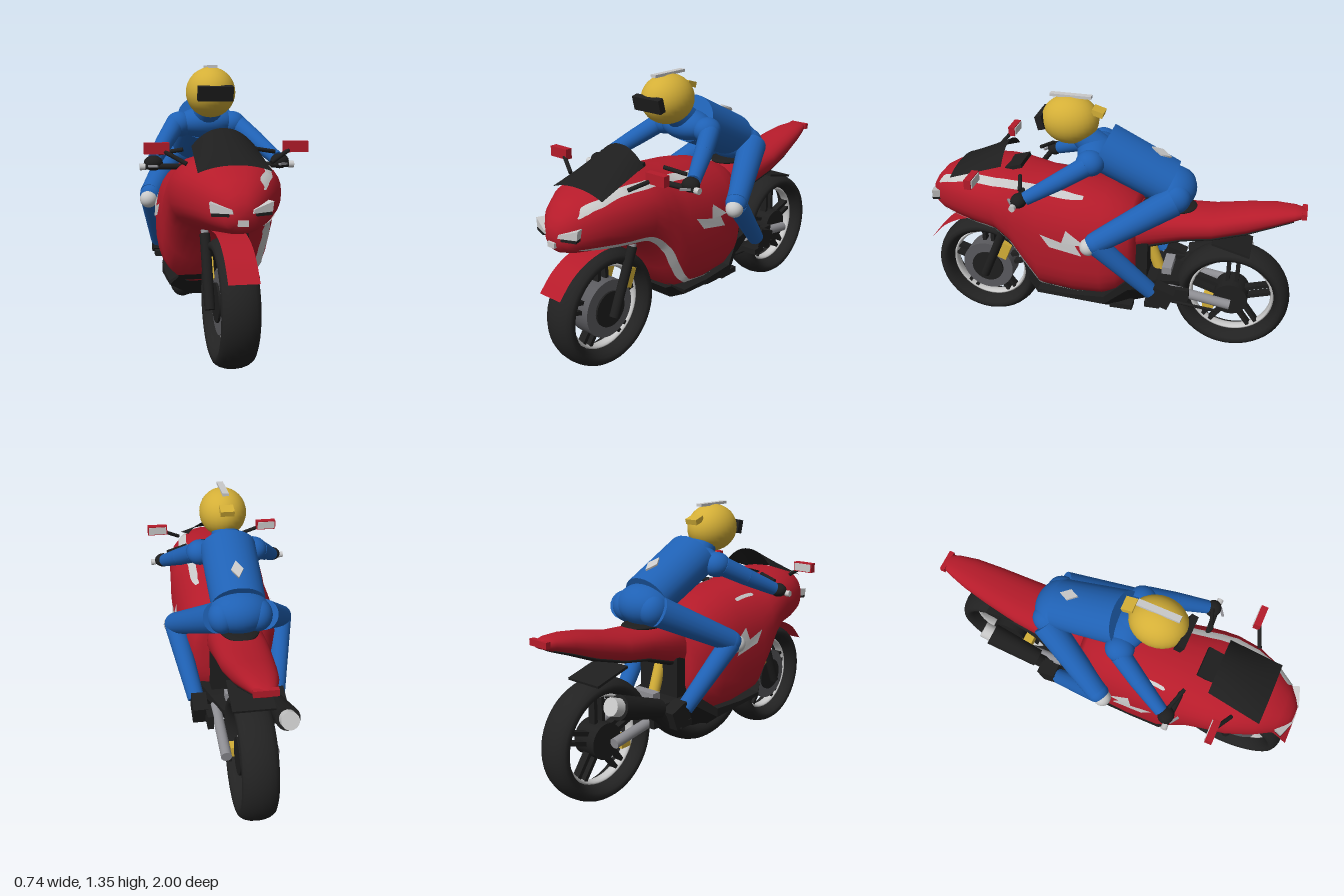
import * as THREE from 'three';

const mat = (name, color, side = THREE.FrontSide) => {
  const m = new THREE.MeshStandardMaterial({ color, side });
  m.name = name;
  return m;
};
const V = (x, y, z) => new THREE.Vector3(x, y, z);

// Body stations from front to back: z, top, bottom, half width, squareness of the lower half
const FAIRING = [
  [0.962, 0.79, 0.70, 0.045], [0.938, 0.83, 0.665, 0.08], [0.893, 0.88, 0.65, 0.128], [0.8, 0.93, 0.637, 0.187],
  [0.68, 0.955, 0.62, 0.235], [0.56, 0.955, 0.6, 0.255], [0.48, 0.95, 0.53, 0.26, 2.5], [0.41, 0.94, 0.42, 0.265, 2.8],
  [0.33, 0.93, 0.3, 0.265, 3], [0.15, 0.915, 0.28, 0.265, 3], [0, 0.885, 0.285, 0.255, 3], [-0.08, 0.855, 0.315, 0.235, 3],
  [-0.14, 0.825, 0.37, 0.2, 2.8], [-0.17, 0.8, 0.43, 0.16, 2.6],
];
const TAIL = [
  [-0.08, 0.79, 0.5, 0.13], [-0.22, 0.8, 0.58, 0.14], [-0.4, 0.81, 0.645, 0.135], [-0.55, 0.82, 0.67, 0.125],
  [-0.72, 0.857, 0.72, 0.105], [-0.85, 0.875, 0.775, 0.085], [-0.94, 0.877, 0.81, 0.06], [-0.99, 0.868, 0.83, 0.04],
];
const POWER = 2.3;

// Closed skin through superelliptic rings
function loft(sections, n = 32) {
  const pos = [], idx = [];
  const sp = (v, q) => Math.sign(v) * Math.abs(v) ** (2 / q);
  for (const [z, t, b, w, low = POWER] of sections)
    for (let j = 0; j < n; j++) {
      const a = (j / n) * Math.PI * 2, q = Math.sin(a) < 0 ? low : POWER;
      pos.push(w * sp(Math.cos(a), q), (t + b) / 2 + ((t - b) / 2) * sp(Math.sin(a), q), z);
    }
  const last = sections.length - 1, c0 = pos.length / 3;
  for (const s of [sections[0], sections[last]]) pos.push(0, (s[1] + s[2]) / 2, s[0]);
  for (let j = 0; j < n; j++) {
    const k = (j + 1) % n;
    for (let i = 0; i < last; i++) {
      const a = i * n + j, b = i * n + k;
      idx.push(a, a + n, b, b, a + n, b + n);
    }
    idx.push(c0, j, k, c0 + 1, last * n + k, last * n + j);
  }
  return build(pos, idx);
}

function build(pos, idx) {
  const g = new THREE.BufferGeometry();
  g.setAttribute('position', new THREE.Float32BufferAttribute(pos, 3));
  g.setIndex(idx);
  g.computeVertexNormals();
  return g;
}

// Open sheet: f(u, v) gives a point
function sheet(f, nu, nv) {
  const pos = [], idx = [];
  for (let i = 0; i <= nu; i++) for (let j = 0; j <= nv; j++) pos.push(...f(i / nu, j / nv));
  for (let i = 0; i < nu; i++)
    for (let j = 0; j < nv; j++) {
      const a = i * (nv + 1) + j, b = a + nv + 1;
      idx.push(a, b, a + 1, a + 1, b, b + 1);
    }
  return build(pos, idx);
}

// Half width of the fairing at a height and station
function fairingX(z, y) {
  let i = 0;
  while (i < FAIRING.length - 2 && FAIRING[i + 1][0] > z) i++;
  const A = FAIRING[i], B = FAIRING[i + 1], k = (A[0] - z) / (A[0] - B[0]);
  const [t, b, w, low] = [1, 2, 3, 4].map(c => (A[c] ?? POWER) * (1 - k) + (B[c] ?? POWER) * k);
  const h = (y - (t + b) / 2) / ((t - b) / 2), q = h < 0 ? low : POWER;
  return w * (1 - Math.min(1, Math.abs(h)) ** q) ** (1 / q);
}

// Painted ribbon that follows the fairing, from [z, y] points
function ribbon(points, width, side) {
  const curve = new THREE.CatmullRomCurve3(points.map(([z, y]) => V(0, y, z)));
  return sheet((u, v) => {
    const p = curve.getPoint(u), t = curve.getTangent(u);
    const o = (v - 0.5) * width * Math.min(1, 8 * u + 0.15, 8 * (1 - u) + 0.5);
    const z = p.z - t.y * o, y = p.y + t.z * o;
    return [side * (fairingX(z, y) + 0.007), y, z];
  }, 60, 4);
}

// Painted flat patch on the fairing flank, from a [z, y] outline
function decal(outline, side) {
  const g = new THREE.ShapeGeometry(new THREE.Shape(outline.map(p => new THREE.Vector2(...p))));
  const p = g.attributes.position;
  for (let i = 0; i < p.count; i++) p.setXYZ(i, side * (fairingX(p.getX(i), p.getY(i)) + 0.009), p.getY(i), p.getX(i));
  g.computeVertexNormals();
  return g;
}

export function createModel() {
  const root = new THREE.Group();
  root.name = 'motorcycleWithRider';
  const red = mat('red paint', 0xb51b2a), blue = mat('blue suit', 0x1f61b4), yellow = mat('yellow', 0xd4af37);
  const black = mat('black', 0x1e1e1e), tyreM = mat('tyre rubber', 0x222222), white = mat('white trim', 0xc9c9c9, THREE.DoubleSide);
  const grey = mat('metal grey', 0x8e8e93), dark = mat('disc grey', 0x5a5a5e);
  const sheetRed = mat('red panel', 0xb51b2a, THREE.DoubleSide), sheetBlack = mat('black panel', 0x1e1e1e, THREE.DoubleSide);

  const add = (name, geo, m, p = [0, 0, 0], r = [0, 0, 0], parent = root) => {
    const o = new THREE.Mesh(geo, m);
    o.name = name;
    o.position.set(...p);
    o.rotation.set(...r);
    parent.add(o);
    return o;
  };
  const box = (name, m, size, p, r, parent) => add(name, new THREE.BoxGeometry(...size), m, p, r, parent);
  const ball = (name, m, size, p) => add(name, new THREE.SphereGeometry(1, 28, 18), m, p).scale.set(...size);
  const rod = (name, m, a, b, ra, rb = ra, n = 18) => {
    const A = V(...a), d = V(...b).sub(A);
    const o = add(name, new THREE.CylinderGeometry(rb, ra, d.length(), n), m, A.clone().addScaledVector(d, 0.5).toArray());
    o.quaternion.setFromUnitVectors(V(0, 1, 0), d.normalize());
    return o;
  };

  // Wheels
  function wheel(name, z, y, R, disc) {
    const g = new THREE.Group();
    g.name = name;
    g.position.set(0, y, z);
    g.rotation.y = Math.PI / 2;
    root.add(g);
    add('tyre', new THREE.TorusGeometry(R - 0.041, 0.041, 16, 48), tyreM, undefined, undefined, g).scale.z = 2.1;
    add('rim', new THREE.TorusGeometry(R - 0.088, 0.011, 10, 48), white, undefined, undefined, g).scale.z = 2.4;
    add('hub', new THREE.CylinderGeometry(0.09, 0.09, 0.13, 28), black, undefined, [Math.PI / 2, 0, 0], g);
    if (disc) add('brakeDisc', new THREE.CylinderGeometry(0.145, 0.145, 0.11, 36), dark, undefined, [Math.PI / 2, 0, 0], g);
    for (let i = 0; i < 5; i++)
      for (const s of [-0.024, 0.024]) {
        const a = (i / 5) * Math.PI * 2 + Math.PI / 2, r = 0.145;
        box('spoke', black, [0.14, 0.02, 0.04], [Math.cos(a) * r - Math.sin(a) * s, Math.sin(a) * r + Math.cos(a) * s, 0], [0, 0, a], g);
      }
  }
  wheel('frontWheel', 0.69, 0.3, 0.295, true);
  wheel('rearWheel', -0.667, 0.311, 0.304, false);

  // Bodywork
  add('fairing', loft(FAIRING), red);
  add('tail', loft(TAIL), red);
  add('tailUnderside', loft(TAIL.slice(1, 7).map(([z, t, b, w]) => [z, b + 0.2 * (t - b), b - 0.004, w * 0.74])), black);
  box('tailLight', red, [0.11, 0.03, 0.025], [0, 0.853, -0.985]);
  ball('seat', black, [0.1, 0.02, 0.14], [0, 0.81, -0.32]);
  box('rearMudguard', black, [0.2, 0.012, 0.2], [0, 0.635, -0.65], [-0.26, 0, 0]);
  const guard = new THREE.CatmullRomCurve3([V(0, 0.46, 0.998), V(0, 0.54, 0.92), V(0, 0.59, 0.83), V(0, 0.615, 0.72), V(0, 0.61, 0.58)]);
  add('frontMudguard', sheet((u, v) => {
    const p = guard.getPoint(u);
    return [(v - 0.5) * 0.136, p.y, p.z];
  }, 16, 2), sheetRed);

  // Angular belly pan
  const belly = [[0.4, 0.36, 0.33, 0.19, 0.15], [0.34, 0.32, 0.25, 0.225, 0.13], [0.17, 0.315, 0.235, 0.225, 0.12],
    [-0.02, 0.325, 0.17, 0.22, 0.08], [-0.14, 0.42, 0.225, 0.18, 0.08], [-0.28, 0.42, 0.28, 0.14, 0.08], [-0.4, 0.4, 0.34, 0.09, 0.06]];
  const pan = sheet((u, v) => {
    const [z, t, b, wt, wb] = belly[Math.round(u * 6)];
    return [[wt, t], [-wt, t], [-wt, t - (t - b) * 0.3], [-wb, b], [wb, b], [wt, t - (t - b) * 0.3], [wt, t]][Math.round(v * 6)].concat(z);
  }, 6, 6).toNonIndexed();
  pan.computeVertexNormals();
  add('bellyPan', pan, sheetBlack);
  box('engineBlock', black, [0.25, 0.3, 0.22], [0, 0.48, -0.12]);
  rod('shockAbsorber', yellow, [0, 0.4, -0.28], [0, 0.62, -0.2], 0.03);
  box('shockMount', grey, [0.14, 0.04, 0.05], [0, 0.44, -0.325]);

  // Front windscreen and dash
  add('windscreen', sheet((u, v) => {
    const a = v * 2 - 1, z = 0.81 - 0.28 * u, lift = 1 - Math.abs(a) ** 2.2;
    return [a * (0.163 - 0.016 * u), 0.9 + 0.09 * u + lift * (0.03 + 0.05 * u), z];
  }, 8, 16), sheetBlack);
  box('dash', black, [0.155, 0.02, 0.09], [0, 0.955, 0.49], [0.3, 0, 0]);

  // Lamps and painted stripes
  const lamp = [[0.045, 0.748], [0.05, 0.765], [0.146, 0.793], [0.14, 0.75]];
  const bolt = [[0.3, 0.695], [0.185, 0.663], [0.165, 0.73], [0.06, 0.655], [0.115, 0.655], [0.08, 0.595], [0.25, 0.63]];
  box('noseLamp', white, [0.045, 0.025, 0.025], [0, 0.708, 0.961]);
  for (const s of [1, -1]) {
    const g = new THREE.Group();
    g.name = s > 0 ? 'leftHeadlight' : 'rightHeadlight';
    g.position.set(0, 0, 0.985);
    g.rotation.y = s * 0.35;
    root.add(g);
    const shape = new THREE.Shape(lamp.map(([x, y]) => new THREE.Vector2(s * x, y)));
    add('lens', new THREE.ExtrudeGeometry(shape, { depth: 0.055, bevelEnabled: false }), white, [0, 0, -0.055], undefined, g);
    box('lampShade', black, [0.075, 0.012, 0.055], [s * 0.1, 0.742, -0.026], undefined, g);
    add('flankBolt', decal(bolt, s), white);
  }
  add('upperStripe', ribbon([[0.9, 0.835], [0.86, 0.865], [0.8, 0.888], [0.7, 0.915], [0.6, 0.917], [0.49, 0.912], [0.4, 0.9], [0.28, 0.885], [0.1, 0.868]], 0.026, 1), white);
  add('upperStripe', ribbon([[0.33, 0.87], [0.27, 0.87], [0.18, 0.862]], 0.014, -1), white);
  add('sideStripe', ribbon([[0.9, 0.685], [0.75, 0.672], [0.57, 0.665], [0.47, 0.585], [0.4, 0.47], [0.33, 0.37], [0.25, 0.33], [0.09, 0.32]], 0.026, 1), white);

  // Exhaust on the right side
  const pipe = new THREE.CatmullRomCurve3([V(-0.1, 0.3, 0.3), V(-0.13, 0.21, 0.1), V(-0.135, 0.2, -0.1), V(-0.15, 0.3, -0.32), V(-0.17, 0.42, -0.45)]);
  add('exhaustPipe', new THREE.TubeGeometry(pipe, 32, 0.036, 12), black);
  rod('silencer', black, [-0.17, 0.43, -0.42], [-0.17, 0.515, -0.69], 0.048, 0.06);
  rod('silencerTip', white, [-0.17, 0.515, -0.69], [-0.17, 0.533, -0.74], 0.044);

  // Chain and side stand
  rod('chain', black, [0.085, 0.28, -0.14], [0.085, 0.24, -0.6], 0.008);
  box('sideStand', black, [0.06, 0.03, 0.12], [0.13, 0.235, -0.1]);
  box('rearCaliper', yellow, [0.16, 0.05, 0.06], [0, 0.275, -0.555]);

  // Mirrored parts of bike and rider
  for (const s of [1, -1]) {
    rod('forkLeg', black, [s * 0.09, 0.27, 0.695], [s * 0.09, 0.59, 0.56], 0.024);
    rod('forkTube', grey, [s * 0.09, 0.58, 0.565], [s * 0.09, 0.72, 0.505], 0.018);
    box('frontCaliper', yellow, [0.03, 0.1, 0.05], [s * 0.07, 0.43, 0.575], [-0.4, 0, 0]);
    rod('swingArm', grey, [s * 0.115, 0.37, -0.3], [s * 0.115, 0.315, -0.67], 0.026);
    box('mirror', red, [0.11, 0.05, 0.035], [s * 0.315, 0.99, 0.62]);
    box('mirrorGlass', white, [0.098, 0.04, 0.006], [s * 0.315, 0.99, 0.601]);
    rod('mirrorArm', black, [s * 0.28, 0.975, 0.63], [s * 0.19, 0.925, 0.675], 0.01);
    rod('handlebar', black, [s * 0.345, 0.885, 0.4], [s * 0.15, 0.885, 0.41], 0.014);
    rod('barEnd', white, [s * 0.37, 0.885, 0.4], [s * 0.345, 0.885, 0.4], 0.016);
    rod('lever', black, [s * 0.28, 0.945, 0.385], [s * 0.17, 0.965, 0.42], 0.01);
    box('leverTip', grey, [0.05, 0.01, 0.012], [s * 0.31, 0.89, 0.43], [0, s * 0.6, 0]);

    // Arms
    ball('shoulder', blue, [0.07, 0.064, 0.072], [s * 0.137, 1.062, 0.065]);
    rod('upperArm', blue, [s * 0.165, 1.055, 0.08], [s * 0.225, 0.99, 0.2], 0.05, 0.045);
    ball('elbow', blue, [0.045, 0.045, 0.045], [s * 0.225, 0.99, 0.2]);
    rod('forearm', blue, [s * 0.225, 0.99, 0.2], [s * 0.297, 0.91, 0.355], 0.045, 0.034);
    ball('glove', black, [0.045, 0.036, 0.04], [s * 0.305, 0.9, 0.385]);

    // Legs
    ball('hip', blue, [0.072, 0.08, 0.082], [s * 0.085, 0.893, -0.352]);
    rod('thigh', blue, [s * 0.112, 0.89, -0.35], [s * 0.28, 0.7, 0.0], 0.076, 0.056);
    ball('knee', blue, [0.056, 0.056, 0.056], [s * 0.28, 0.695, 0.005]);
    ball('kneePad', white, [0.045, 0.045, 0.045], [s * 0.294, 0.677, 0.037]);
    rod('shin', blue, [s * 0.28, 0.685, 0.0], [s * 0.21, 0.4, -0.27], 0.055, 0.042);
    box('boot', black, [0.075, 0.1, 0.11], [s * 0.2, 0.38, -0.325], [-0.35, 0, 0]);
    box('footPeg', black, [0.09, 0.03, 0.08], [s * 0.185, 0.325, -0.28]);
    box('heelGuard', black, [0.03, 0.07, 0.12], [s * 0.16, 0.37, -0.4]);
  }

  // Torso, tapered and leaning forward
  rod('back', blue, [0, 0.935, -0.31], [0, 1.095, 0.03], 0.115, 0.122, 28).scale.x = 1.15;
  ball('chest', blue, [0.15, 0.08, 0.1], [0, 1.07, 0.06]);
  ball('pelvis', blue, [0.148, 0.105, 0.125], [0, 0.905, -0.325]);
  rod('neck', blue, [0, 1.08, 0.06], [0, 1.16, 0.15], 0.08, 0.065);
  add('backPatch', new THREE.CylinderGeometry(0.05, 0.05, 0.009, 4), white, [0, 1.095, -0.265], [-0.44, 0, 0]).scale.set(0.6, 1, 1.1);

  // Helmet
  ball('helmet', yellow, [0.121, 0.123, 0.145], [0, 1.225, 0.2]);
  box('visor', black, [0.17, 0.07, 0.035], [0, 1.222, 0.335], [0.25, 0, 0]);
  box('helmetCrest', white, [0.032, 0.014, 0.21], [0, 1.349, 0.195]);
  box('helmetSpoiler', yellow, [0.07, 0.028, 0.06], [0, 1.278, 0.055], [-0.3, 0, 0]);

  return root;
}
